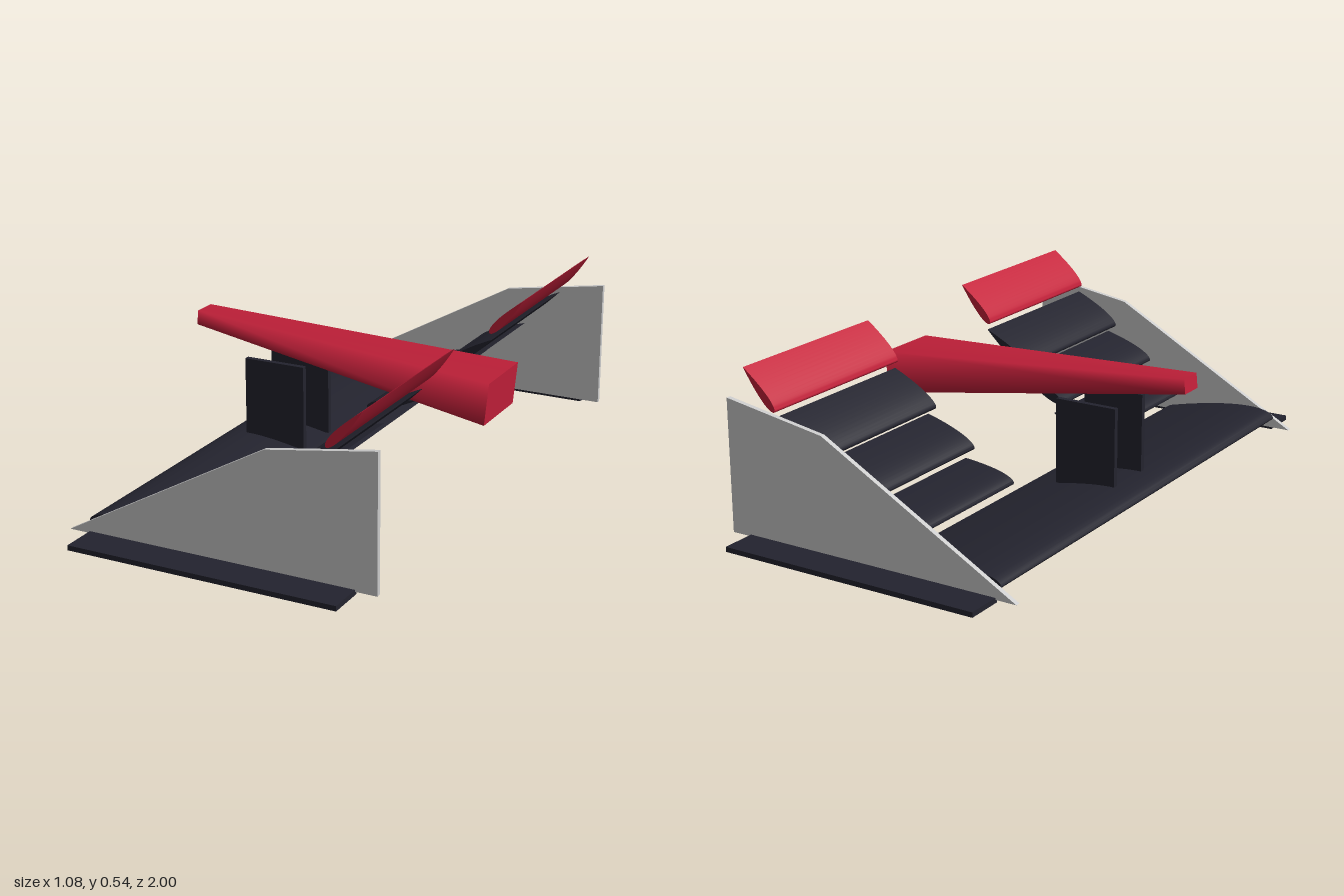
import * as THREE from 'three';
import { toCreasedNormals } from 'three/addons/utils/BufferGeometryUtils.js';

function material(name, color) {
  const m = new THREE.MeshStandardMaterial({ color });
  m.name = name;
  return m;
}

// Wing section from leading edge to trailing edge, extruded along z
function wingGeometry([x0, y0], [x1, y1], upper, lower, z0, z1) {
  const steps = 18;
  const chord = Math.hypot(x1 - x0, y1 - y0);
  const ux = (x1 - x0) / chord, uy = (y1 - y0) / chord;
  const point = (t, scale) => {
    const half = scale * chord * (2.969 * Math.sqrt(t) - 1.26 * t
      - 3.516 * t ** 2 + 2.843 * t ** 3 - 1.036 * t ** 4);
    return new THREE.Vector2(
      x0 + ux * t * chord - uy * half,
      y0 + uy * t * chord + ux * half);
  };
  const pts = [];
  for (let i = 0; i <= steps; i++) {
    pts.push(point((1 - Math.cos(Math.PI * i / steps)) / 2, -lower));
  }
  for (let i = steps - 1; i > 0; i--) {
    pts.push(point((1 - Math.cos(Math.PI * i / steps)) / 2, upper));
  }
  const geo = new THREE.ExtrudeGeometry(new THREE.Shape(pts),
    { depth: z1 - z0, bevelEnabled: false });
  geo.translate(0, 0, z0);
  return toCreasedNormals(geo, 0.8);
}

export function createModel() {
  const group = new THREE.Group();
  group.name = 'frontWing';
  const dark = material('dark carbon', 0x23232e);
  const red = material('red', 0xc4203a);
  const grey = material('light grey', 0xcccccc);

  const add = (name, geometry, mat, x = 0, y = 0, z = 0) => {
    const mesh = new THREE.Mesh(geometry, mat);
    mesh.name = name;
    mesh.position.set(x, y, z);
    group.add(mesh);
    return mesh;
  };

  // Full-width main plane
  add('mainPlane',
    wingGeometry([-0.415, 0.045], [-0.005, 0.022], 0.085, 0.045, -0.87, 0.87), dark);

  // Tapered four-sided nose, tilted up towards its tip
  const noseGeo = new THREE.CylinderGeometry(0.04 * Math.SQRT2, 0.115 * Math.SQRT2, 1.07, 4);
  noseGeo.rotateY(Math.PI / 4);
  noseGeo.rotateZ(Math.PI / 2);
  noseGeo.scale(1, 0.6, 1);
  const nose = add('nose', noseGeo, red, -0.005, 0.37, 0);
  nose.rotation.z = -0.1;

  // Flap stack: leading edge, trailing edge, material
  const flaps = [
    [[-0.066, 0.09], [0.115, 0.14], dark],
    [[0.081, 0.177], [0.256, 0.262], dark],
    [[0.226, 0.285], [0.382, 0.393], dark],
    [[0.373, 0.414], [0.485, 0.535], red],
  ];

  // Endplate outline
  const plate = new THREE.Shape([
    [-0.475, 0.01], [0.54, 0.01], [0.54, 0.436], [0.19, 0.38],
  ].map(([x, y]) => new THREE.Vector2(x, y)));
  const plateGeo = new THREE.ExtrudeGeometry(plate, { depth: 0.016, bevelEnabled: false });
  plateGeo.translate(0, 0, -0.008);

  for (const side of [1, -1]) {
    const label = side > 0 ? 'Front' : 'Back';
    const [z0, z1] = side > 0 ? [0.265, 0.87] : [-0.87, -0.265];
    flaps.forEach(([le, te, mat], i) => {
      add(`flap${i + 1}${label}`, wingGeometry(le, te, 0.085, 0.085, z0, z1), mat);
    });
    add(`endplate${label}`, plateGeo, grey, 0, 0, side * 0.878);
    add(`footplate${label}`, new THREE.BoxGeometry(0.878, 0.016, 0.122), dark,
      0.033, 0.008, side * 0.939);
    add(`pylon${label}`, new THREE.BoxGeometry(0.212, 0.28, 0.018), dark,
      -0.221, 0.19, side * 0.086);
  }
  return group;
}
